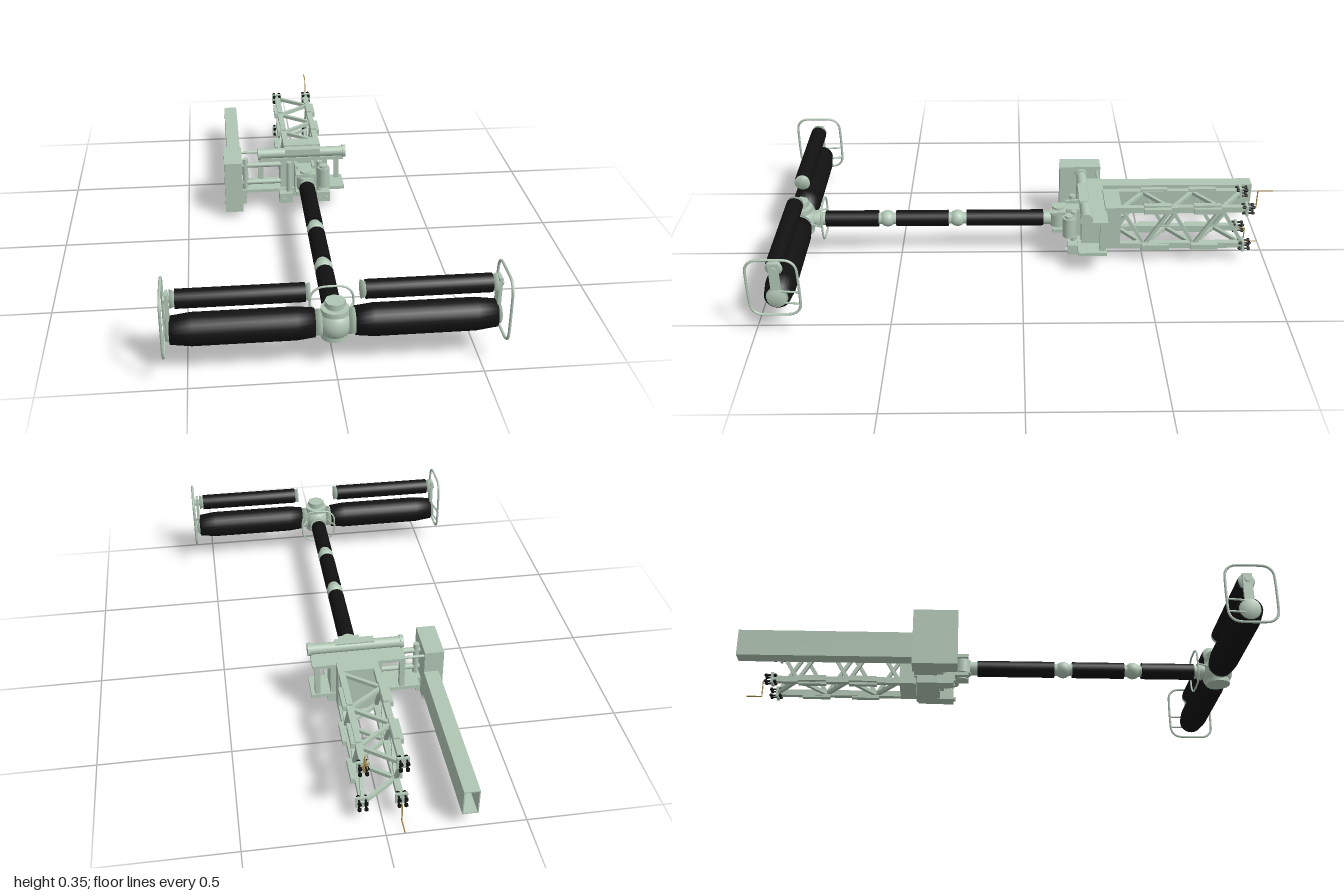
import * as THREE from 'three';

const mat = (name, color, side = THREE.FrontSide) => {
  const m = new THREE.MeshStandardMaterial({ color, side });
  m.name = name;
  return m;
};

export function createModel() {
  const sage = mat('sage metal', 0xb0c6b4);
  const black = mat('black sleeve', 0x111111);
  const tan = mat('tan wire', 0xb0904a);
  const root = new THREE.Group();
  root.name = 'boomMachine';

  const V = (x, y, z) => new THREE.Vector3(x, y, z);
  const add = (name, geo, m = sage, x = 0, y = 0, z = 0) => {
    const mesh = new THREE.Mesh(geo, m);
    mesh.name = name;
    mesh.position.set(x, y, z);
    root.add(mesh);
    return mesh;
  };
  // Box given by its limits on each axis
  const box = (name, x0, x1, y0, y1, z0, z1, m = sage) =>
    add(name, new THREE.BoxGeometry(x1 - x0, y1 - y0, z1 - z0), m, (x0 + x1) / 2, (y0 + y1) / 2, (z0 + z1) / 2);
  // Round bar between two points, optionally tapered
  const rod = (name, a, b, r, m = sage, sides = 16, r2 = r) => {
    const mesh = add(name, new THREE.CylinderGeometry(r2, r, a.distanceTo(b), sides), m);
    mesh.position.copy(a).lerp(b, 0.5);
    mesh.quaternion.setFromUnitVectors(V(0, 1, 0), b.clone().sub(a).normalize());
    return mesh;
  };
  // Square bar between two points
  const strut = (name, a, b, w) => {
    const mesh = add(name, new THREE.BoxGeometry(w, w, a.distanceTo(b)));
    mesh.position.copy(a).lerp(b, 0.5);
    mesh.lookAt(b);
    return mesh;
  };
  // Turned part along x, profile given as [radius, x]
  const turnedX = (name, profile, m, s, y, z, sides = 24) => {
    const geo = new THREE.LatheGeometry(profile.map(p => new THREE.Vector2(p[0], p[1])), sides);
    const mesh = add(name, geo, m, 0, y, z);
    mesh.rotation.z = -s * Math.PI / 2;
    return mesh;
  };
  // Closed tubular loop with rounded corners, drawn in the xy plane
  const loop = (name, w, h, c, r) => {
    const pts = [];
    [[1, 1, 0], [-1, 1, 1], [-1, -1, 2], [1, -1, 3]].forEach(([sx, sy, q]) => {
      for (let i = 0; i <= 5; i++) {
        const t = (q + i / 5) * Math.PI / 2;
        pts.push(V(sx * (w / 2 - c) + c * Math.cos(t), sy * (h / 2 - c) + c * Math.sin(t), 0));
      }
    });
    const curve = new THREE.CatmullRomCurve3(pts, true, 'centripetal');
    return add(name, new THREE.TubeGeometry(curve, 96, r, 8, true));
  };

  // Cross head: two long sleeves and two shorter ones above, mirrored
  const hz = 0.9, hy = 0.168, uy = 0.29;
  for (const s of [1, -1]) {
    turnedX('mainSleeve', [[0, 0.068], [0.05, 0.068], [0.057, 0.13], [0.057, 0.48], [0.048, 0.552], [0, 0.552]], black, s, hy, hz);
    turnedX('mainSleeveCollar', [[0, 0.045], [0.045, 0.045], [0.045, 0.069], [0, 0.069]], sage, s, hy, hz);
    turnedX('mainSleeveCap', [[0, 0.55], [0.042, 0.55], [0.036, 0.566], [0, 0.566]], sage, s, hy, hz);
    turnedX('upperSleeve', [[0, 0.1], [0.033, 0.1], [0.033, 0.528], [0, 0.528]], black, s, uy, hz);
    turnedX('upperInnerCap', [[0, 0.084], [0.032, 0.084], [0.026, 0.101], [0, 0.101]], sage, s, uy, hz);
    turnedX('upperOuterCap', [[0, 0.527], [0.024, 0.527], [0.032, 0.545], [0, 0.545]], sage, s, uy, hz);
    box('endBracket', s * 0.555 - 0.006, s * 0.555 + 0.006, hy, uy + 0.025, hz - 0.018, hz + 0.018);
    rod('bracketPin', V(s * 0.535, uy, hz), V(s * 0.567, uy, hz), 0.012);
    const guard = loop('endGuard', 0.185, 0.235, 0.045, 0.005);
    guard.position.set(s * 0.573, 0.223, 0.905);
    guard.rotation.y = Math.PI / 2;
    for (const y of [0.15, 0.2]) rod('guardStay', V(s * 0.57, y, 0.815), V(s * 0.56, y, 0.9), 0.004, sage, 8);
  }

  // Hub in the middle of the head
  const hub = add('hub', new THREE.SphereGeometry(0.062, 24, 16), sage, 0, hy, hz);
  hub.scale.set(0.95, 1, 1);
  rod('hubBarrel', V(0, 0.112, hz), V(0, 0.225, hz), 0.048, sage, 24);
  rod('hubNeck', V(0, 0.22, hz), V(0, 0.235, hz), 0.028);
  rod('hubCap', V(0, 0.232, hz), V(0, 0.252, hz), 0.036, sage, 8);
  const ring = loop('hubGuard', 0.15, 0.15, 0.05, 0.004);
  ring.position.set(0, 0.172, 0.806);
  for (const s of [1, -1]) rod('hubGuardStay', V(s * 0.073, 0.172, 0.806), V(s * 0.04, 0.172, 0.88), 0.004, sage, 8);
  rod('armNeck', V(0, hy, 0.795), V(0, hy, 0.86), 0.027);
  rod('armNeckFlange', V(0, hy, 0.82), V(0, hy, 0.835), 0.035);

  // Long arm: sleeves with round joints between them
  [[0.585, 0.8], [0.3, 0.513], [-0.088, 0.226]].forEach(([a, b]) =>
    rod('armSleeve', V(0, hy, a), V(0, hy, b), 0.033, black, 24));
  for (const z of [0.549, 0.263]) {
    add('armJoint', new THREE.SphereGeometry(0.034, 20, 12), sage, 0, hy, z);
    rod('armJointCore', V(0, hy, z - 0.038), V(0, hy, z + 0.038), 0.024);
  }

  // Shoulder yoke
  rod('shoulderNeck', V(0, hy, -0.12), V(0, hy, -0.085), 0.028);
  rod('shoulderPin', V(0, 0.115, -0.15), V(0, 0.222, -0.15), 0.024);
  rod('shoulderBarrel', V(0, 0.14, -0.15), V(0, 0.198, -0.15), 0.036, sage, 20);
  for (const y of [0.127, 0.207]) box('yokePlate', -0.042, 0.042, y - 0.007, y + 0.007, -0.25, -0.125);
  for (const s of [1, -1]) {
    box('yokeCheek', s * 0.036 - 0.006, s * 0.036 + 0.006, 0.105, 0.228, -0.25, -0.18);
    rod('yokeRam', V(s * 0.065, 0.1, -0.21), V(s * 0.065, 0.235, -0.21), 0.012, sage, 12);
    box('lowerFoot', s * 0.08 - 0.028, s * 0.08 + 0.028, 0.054, 0.098, -0.25, -0.185);
    rod('footPin', V(s * 0.092, 0.07, -0.19), V(s * 0.092, 0.07, -0.176), 0.01, sage, 12);
  }
  rod('driveMotor', V(0.08, 0.13, -0.19), V(0.08, 0.215, -0.19), 0.026, sage, 16);
  rod('driveMotorCap', V(0.08, 0.21, -0.19), V(0.08, 0.225, -0.19), 0.018, sage, 12);

  // Carriage with roller and cross bars
  box('carriageCore', -0.1, 0.1, 0.085, 0.232, -0.335, -0.24);
  box('carriageTop', -0.19, 0.17, 0.228, 0.242, -0.34, -0.235);
  box('carriageFloor', -0.25, 0.175, 0.09, 0.104, -0.34, -0.225);
  box('lowerBeam', -0.105, 0.11, 0.056, 0.088, -0.33, -0.24);
  for (const x of [-0.18, 0.15]) box('carriagePost', x - 0.01, x + 0.01, 0.1, 0.232, -0.335, -0.31);
  rod('roller', V(-0.19, 0.26, -0.252), V(0.17, 0.26, -0.252), 0.021, sage, 24);
  for (const x of [-0.188, 0.172]) rod('rollerEnd', V(x - 0.007, 0.26, -0.252), V(x + 0.007, 0.26, -0.252), 0.026, sage, 24);
  box('rollerCover', -0.08, 0.07, 0.262, 0.282, -0.265, -0.23);

  // Side counterbox, its links and the hollow rail behind it
  box('counterbox', -0.34, -0.265, 0.03, 0.257, -0.34, -0.168);
  box('counterboxLug', -0.268, -0.248, 0.035, 0.1, -0.29, -0.23);
  rod('counterboxPost', V(-0.25, 0.09, -0.25), V(-0.25, 0.24, -0.25), 0.012, sage, 12);
  for (const y of [0.13, 0.21]) rod('counterboxLink', V(-0.27, y, -0.25), V(-0.09, y, -0.25), 0.011, sage, 12);
  rod('upperLink', V(-0.27, 0.235, -0.325), V(-0.18, 0.235, -0.325), 0.006, sage, 8);
  const rx = 0.029, ry = 0.052, t = 0.004;
  const rect = (P, a, b) => new P([[-a, -b], [a, -b], [a, b], [-a, b]].map(p => new THREE.Vector2(...p)));
  const rail = rect(THREE.Shape, rx, ry);
  rail.holes.push(rect(THREE.Path, rx - t, ry - t));
  add('hollowRail', new THREE.ExtrudeGeometry(rail, { depth: 0.662, bevelEnabled: false }), sage, -0.293, 0.115, -1);

  // Lattice mast
  const zA = -0.4, zB = -0.905, cx = 0.067, yLo = 0.076, yHi = 0.244, n = 5;
  box('mastBase', -0.078, 0.08, 0.064, 0.256, -0.4, -0.335);
  for (const s of [1, -1]) for (const y of [yLo, yHi]) {
    const up = y === yHi ? 1 : -1;
    box('mastChord', s * cx - 0.012, s * cx + 0.012, y - 0.012, y + 0.012, zB, zA);
    // Chord pads
    for (const z of [-0.545, -0.745]) {
      box('chordSidePad', s * 0.086 - 0.007, s * 0.086 + 0.007, y - 0.011, y + 0.011, z - 0.055, z + 0.055);
      box('chordFacePad', s * cx - 0.011, s * cx + 0.011, y + up * 0.015 - 0.005, y + up * 0.015 + 0.005, z - 0.055, z + 0.055);
    }
    // End couplings
    box('couplingPlate', s * 0.07 - 0.022, s * 0.07 + 0.022, y - 0.022, y + 0.022, -0.908, -0.898);
    for (const dx of [-0.012, 0.012]) for (const dy of [-0.013, 0.013]) {
      const px = s * 0.07 + dx, py = y + dy;
      rod('couplingPin', V(px, py, -0.935), V(px, py, -0.885), 0.0035, black, 8);
      for (const z of [-0.928, -0.892]) rod('couplingNut', V(px, py, z - 0.004), V(px, py, z + 0.004), 0.0075, black, 6);
    }
  }
  // Zigzag braces, with facing sides out of step
  for (let i = 0; i < n; i++) {
    const z0 = zA + (zB - zA) * i / n, z1 = zA + (zB - zA) * (i + 1) / n;
    const d = i % 2 ? 1 : -1;
    for (const s of [1, -1]) {
      const a = d * s, yc = (yLo + yHi) / 2, hh = (yHi - yLo) / 2;
      strut('sideBrace', V(s * cx, yc - a * hh, z0), V(s * cx, yc + a * hh, z1), 0.014);
      strut('faceBrace', V(-a * cx, yc + s * hh, z0), V(a * cx, yc + s * hh, z1), 0.014);
    }
  }

  // Cranked wires at the mast end
  for (const [x, y0, y1] of [[0.07, 0.25, 0.325], [-0.066, 0.07, 0.003]]) {
    const p = [V(x, y0, -0.9), V(x, y0, -0.94), V(x, y1, -0.94), V(x, y1, -1)];
    for (let i = 0; i < 3; i++) rod('crankedWire', p[i], p[i + 1], 0.0025, tan, 6);
  }
  return root;
}
